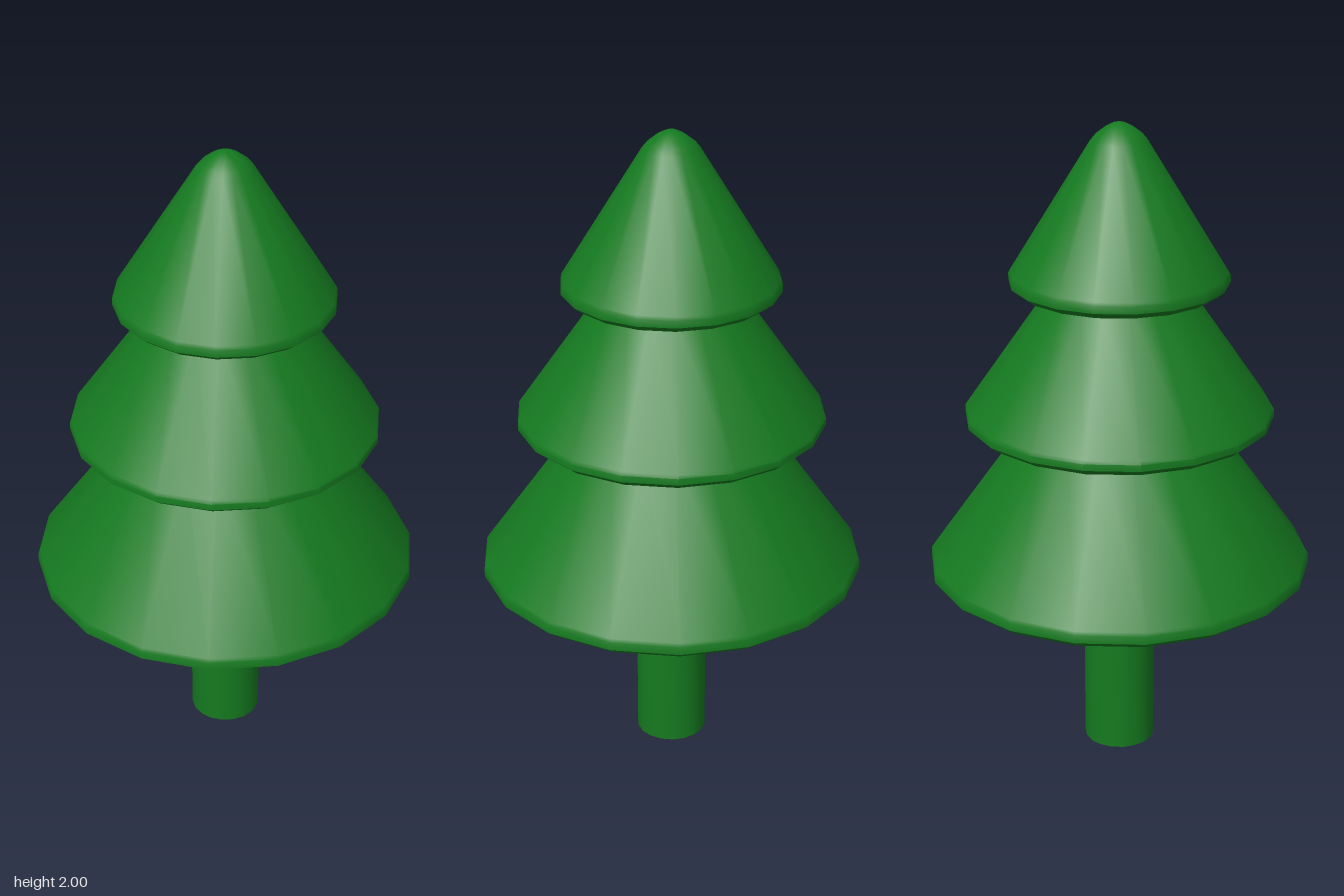
import * as THREE from 'three';
import { toCreasedNormals } from 'three/addons/utils/BufferGeometryUtils.js';

const SIDES = 18;
const green = new THREE.MeshStandardMaterial({ color: 0x157a20, roughness: 0.9 });

// Revolve a bottom-to-top profile of [radius, height] points, with a corner on the x axis
function turned(name, profile) {
  const points = profile.map(([r, y]) => new THREE.Vector2(r, y));
  const lathe = new THREE.LatheGeometry(points, SIDES, Math.PI / 2);
  const mesh = new THREE.Mesh(toCreasedNormals(lathe, 0.62), green);
  mesh.name = name;
  return mesh;
}

// Flat underside with a small bevelled rim
const skirt = (r, y, bevel) => [[0, y], [r - 0.025, y], [r, y + 0.02], [r, y + bevel * 0.8], [r - 0.006, y + bevel]];

export function createModel() {
  const tree = new THREE.Group();
  tree.name = 'tree';

  tree.add(turned('trunk', [[0, 0], [0.11, 0], [0.11, 0.61], [0, 0.61]]));

  // Lower tiers run up into the tier above and close off there
  tree.add(turned('lowerTier', [...skirt(0.59, 0.597, 0.055), [0.277, 1.085], [0.22, 1.165], [0, 1.165]]));
  tree.add(turned('middleTier', [...skirt(0.47, 1.083, 0.05), [0.207, 1.505], [0.16, 1.575], [0, 1.575]]));

  // Top tier ends in a rounded tip
  tree.add(turned('topTier', [
    ...skirt(0.33, 1.504, 0.052),
    [0.085, 1.945], [0.07, 1.963], [0.04, 1.986], [0.018, 1.997], [0, 2],
  ]));

  return tree;
}
